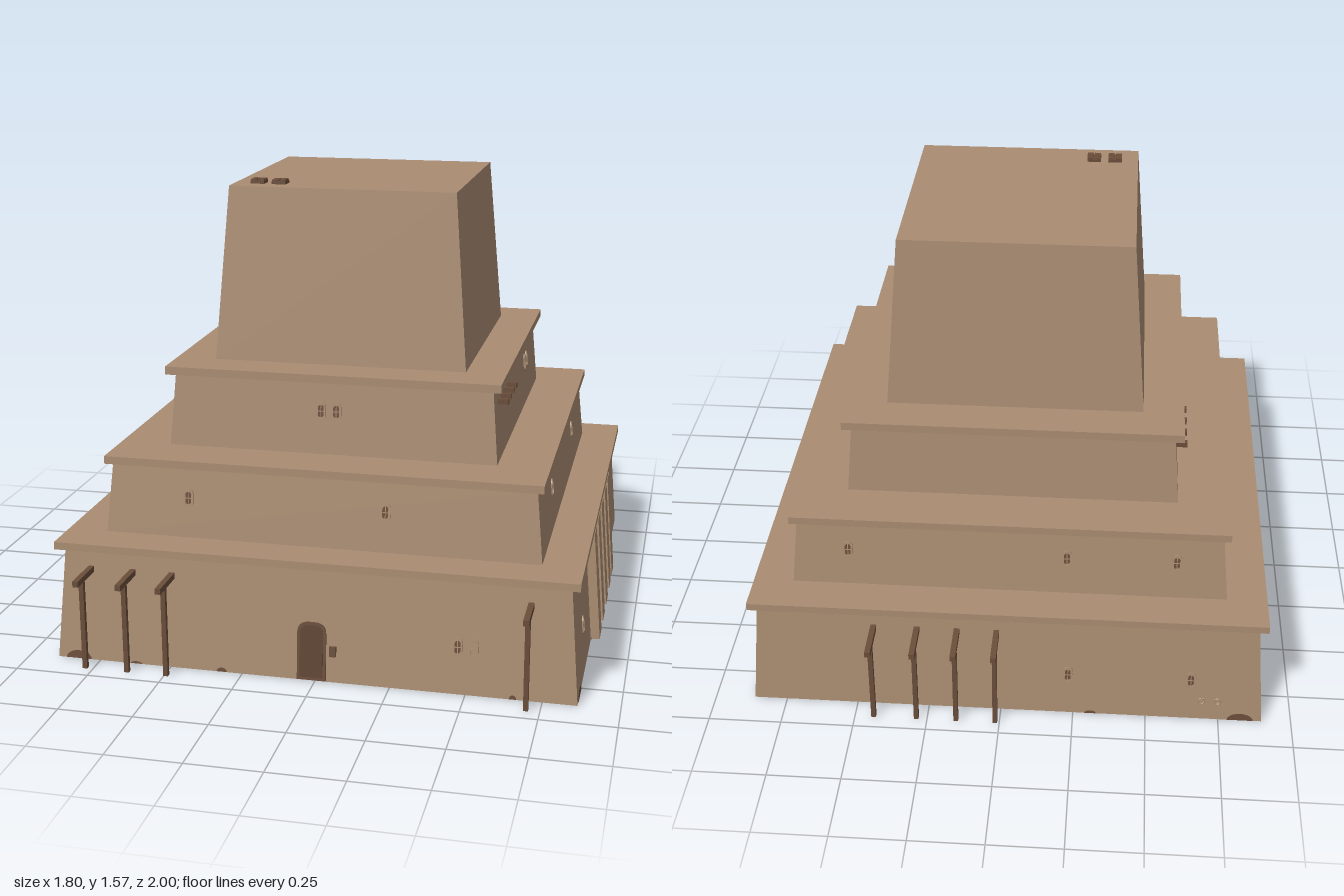
import * as THREE from 'three';

const CX = -0.018; // the stepped body sits slightly off centre
const mat = (name, color, double) => {
  const m = new THREE.MeshStandardMaterial({ color, flatShading: true });
  m.name = name;
  if (double) m.side = THREE.DoubleSide;
  return m;
};

// bottom and top heights, bottom and top half widths, ledge half width and top
const TIERS = [
  { y0: 0, y1: 0.388, h0: 0.881, h1: 0.85, ledge: 0.879, top: 0.414 },
  { y0: 0.414, y1: 0.655, h0: 0.742, h1: 0.719, ledge: 0.742, top: 0.682 },
  { y0: 0.682, y1: 0.932, h0: 0.566, h1: 0.546, ledge: 0.575, top: 0.96 },
  { y0: 0.96, y1: 1.556, h0: 0.437, h1: 0.39 },
];
const ANGLES = { front: 0, right: Math.PI / 2, back: Math.PI, left: -Math.PI / 2 };

// upright rounded shape centred on the origin
function capsule(w, h) {
  const r = w / 2, s = h / 2 - r, p = new THREE.Shape();
  p.absarc(0, s, r, 0, Math.PI, false);
  p.absarc(0, -s, r, Math.PI, Math.PI * 2, false);
  p.closePath();
  return p;
}

// doorway outline standing on y = 0
function arch(w, h, r) {
  const p = new THREE.Shape();
  p.moveTo(-w / 2, 0);
  p.lineTo(w / 2, 0);
  p.lineTo(w / 2, h - r);
  p.quadraticCurveTo(w / 2, h, w / 2 - r, h);
  p.lineTo(-w / 2 + r, h);
  p.quadraticCurveTo(-w / 2, h, -w / 2, h - r);
  p.closePath();
  return p;
}

const plate = (shape, depth) =>
  new THREE.ExtrudeGeometry(shape, { depth, bevelEnabled: false, curveSegments: 6 });

export function createModel() {
  const wall = mat('sandstone', 0xaa8d72);
  const wood = mat('dark timber', 0x6b4e3b);
  const dark = mat('shadowed brown', 0x5f4534);
  const root = new THREE.Group();
  root.name = 'steppedBuilding';

  const add = (parent, name, geo, material, x = 0, y = 0, z = 0) => {
    const m = new THREE.Mesh(geo, material);
    m.name = name;
    m.position.set(x, y, z);
    parent.add(m);
    return m;
  };
  const box = (w, h, d) => new THREE.BoxGeometry(w, h, d);

  // sloping tiers with flat ledges
  TIERS.forEach((t, i) => {
    const geo = new THREE.CylinderGeometry(t.h1 * Math.SQRT2, t.h0 * Math.SQRT2, t.y1 - t.y0, 4);
    geo.rotateY(Math.PI / 4);
    add(root, `tier${i + 1}`, geo, wall, CX, (t.y0 + t.y1) / 2, 0);
    if (t.ledge) {
      add(root, `ledge${i + 1}`, box(t.ledge * 2, t.top - t.y1, t.ledge * 2), wall, CX, (t.y1 + t.top) / 2, 0);
    }
  });

  // one upright group per side; local z points outwards
  const sides = {};
  for (const [name, angle] of Object.entries(ANGLES)) {
    const g = new THREE.Group();
    g.name = `${name}Details`;
    g.position.x = CX;
    g.rotation.y = angle;
    root.add(g);
    sides[name] = g;
  }
  // model x or z coordinate to the local horizontal coordinate of a side
  const along = (side, c) => ({ front: c - CX, back: CX - c, right: -c, left: c })[side];

  // group lying on the sloping wall of a tier
  function onWall(name, side, tier, c, y) {
    const t = TIERS[tier], slope = (t.h0 - t.h1) / (t.y1 - t.y0);
    const g = new THREE.Group();
    g.name = name;
    g.position.set(along(side, c), y, t.h0 - (y - t.y0) * slope);
    g.rotation.x = -Math.atan(slope);
    sides[side].add(g);
    return g;
  }

  // capsule windows with a dark pane and a cross bar
  const rim = capsule(0.034, 0.064);
  rim.holes.push(capsule(0.02, 0.046));
  const rimGeo = plate(rim, 0.005);
  const paneGeo = plate(capsule(0.02, 0.042), 0.002);
  function makeWindow(side, tier, c, y, shuttered) {
    const g = onWall('window', side, tier, c, y);
    add(g, 'windowFrame', rimGeo, wall);
    if (!shuttered) add(g, 'windowPane', paneGeo, wood);
    add(g, 'windowBar', box(0.02, 0.003, 0.003), wall, 0, 0, 0.002);
    add(g, 'windowMullion', box(0.003, 0.042, 0.003), wall, 0, 0, 0.002);
  }
  const windowY = [0.16, 0.55, 0.83];
  const windows = {
    front: [[0.472], [-0.47, 0.205], [-0.053, 0]],
    right: [[0.605, -0.584, -0.637], [0.364, -0.332], [-0.236, -0.29]],
    back: [[-0.23, -0.65], [0.53, -0.215, -0.585], []],
    left: [[0.22, 0.275], [-0.4, -0.34, 0.355], [0.15, 0.205]],
  };
  for (const side in windows) {
    windows[side].forEach((list, tier) => list.forEach((c) => makeWindow(side, tier, c, windowY[tier])));
  }
  makeWindow('front', 0, 0.524, 0.16, true);

  // rounded doorways
  for (const [side, c] of [['front', -0.012], ['left', -0.15]]) {
    const g = onWall('doorway', side, 0, c, 0.002);
    add(g, 'doorSurround', plate(arch(0.098, 0.2, 0.04), 0.004), wood);
    add(g, 'doorPanel', plate(arch(0.078, 0.18, 0.034), 0.002), dark, 0, 0.01, 0.004);
  }
  // control box beside the front door
  const control = onWall('doorControl', 'front', 0, 0.06, 0.107);
  add(control, 'controlBox', box(0.022, 0.034, 0.02), wood);

  // small round vents low on the back
  for (const x of [-0.69, -0.745]) {
    const g = onWall('vent', 'back', 0, x, 0.075);
    add(g, 'ventRing', new THREE.TorusGeometry(0.011, 0.002, 4, 12), wall);
  }

  // sloping pilasters on the right wall
  for (const z of [0.317, 0.158, 0.004, -0.15, -0.29]) {
    const g = onWall('pilaster', 'right', 0, z, 0.194);
    add(g, 'pilasterBody', box(0.086, 0.386, 0.062), wall);
  }

  // T-shaped timber posts tied into the front and back walls
  const posts = { front: [-0.777, -0.63, -0.493, 0.705], back: [0.015, 0.15, 0.287, 0.435] };
  for (const side in posts) {
    for (const x of posts[side]) {
      const u = along(side, x);
      add(sides[side], 'post', box(0.016, 0.315, 0.016), wood, u, 0.1575, 0.945);
      add(sides[side], 'postBeam', box(0.019, 0.02, 0.15), wood, u, 0.32, 0.925);
    }
  }

  // rows of drain spouts under the third ledge
  const drains = { right: [0.47, 0.4, 0.328, 0.257], left: [-0.495, -0.425, -0.353, -0.28] };
  for (const side in drains) {
    for (const z of drains[side]) {
      add(sides[side], 'drainSpout', box(0.018, 0.018, 0.07), wood, along(side, z), 0.877, 0.553);
    }
  }

  // dark patches along the foot of the walls
  const patches = {
    front: [[-0.825, 0.045, 0.028], [-0.32, 0.018, 0.014], [0.655, 0.012, 0.014], [-0.62, 0.02, 0.008]],
    right: [[0.81, 0.05, 0.028], [0.345, 0.025, 0.008], [-0.67, 0.014, 0.016]],
    back: [[-0.825, 0.045, 0.028], [-0.31, 0.02, 0.012]],
    left: [[0.81, 0.045, 0.026], [-0.35, 0.02, 0.01]],
  };
  for (const side in patches) {
    for (const [c, r, h] of patches[side]) {
      const g = onWall('footPatch', side, 0, c, 0.001);
      const geo = new THREE.CircleGeometry(r, 10, 0, Math.PI);
      geo.scale(1, h / r, 1);
      add(g, 'patch', geo, wood, 0, 0, 0.002);
    }
  }

  // pairs of roof hatches, each split into four raised tiles
  for (const x of [-0.326, -0.251]) {
    add(root, 'hatchBase', box(0.049, 0.012, 0.049), wood, x, 1.56, 0.305);
    for (const dx of [-1, 1]) {
      for (const dz of [-1, 1]) {
        add(root, 'hatchTile', box(0.021, 0.006, 0.021), wood, x + dx * 0.0125, 1.568, 0.305 + dz * 0.0125);
      }
    }
  }
  return root;
}
